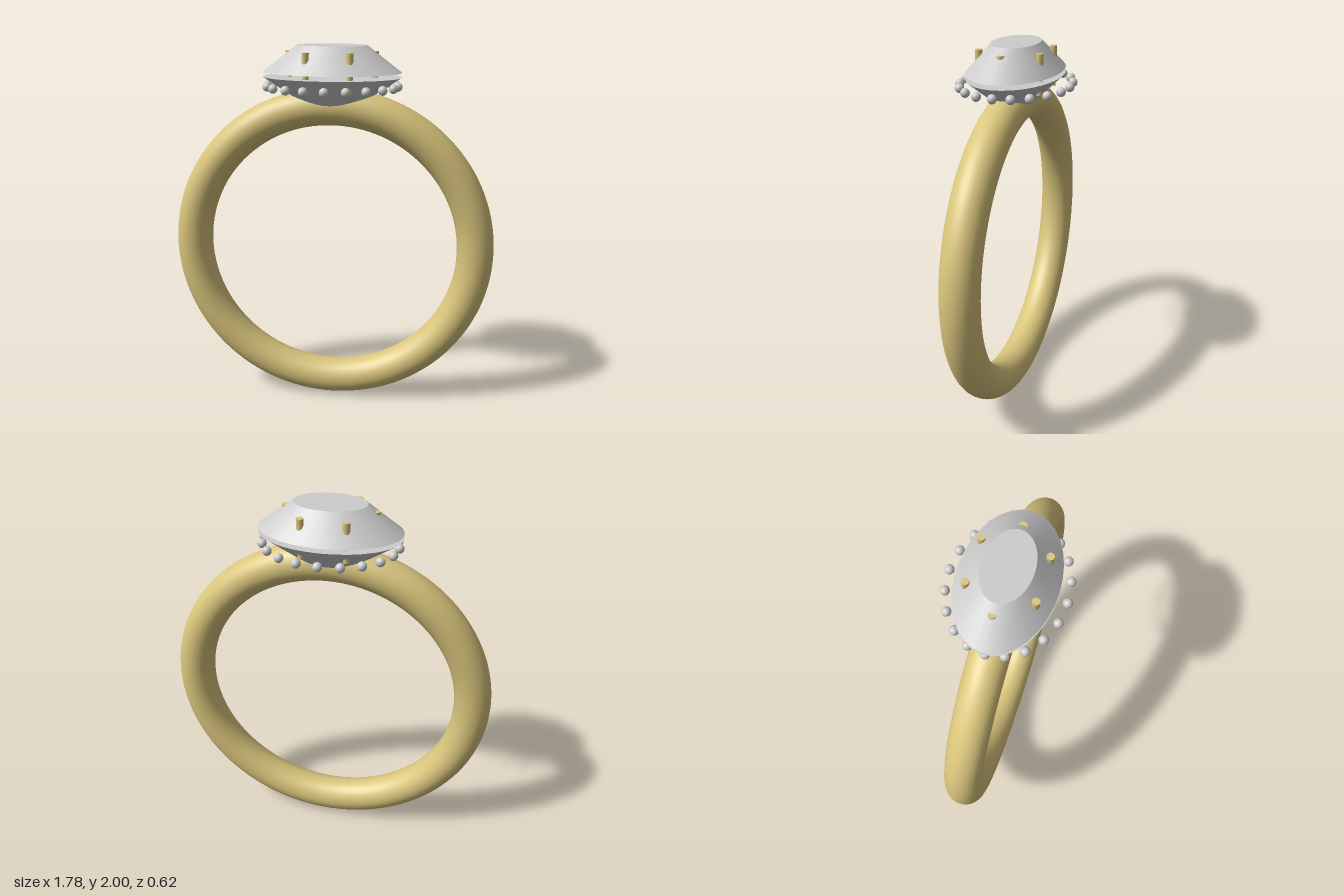
import * as THREE from 'three';

const gold = new THREE.MeshStandardMaterial({ color: 0xd9c57c });
const stone = new THREE.MeshStandardMaterial({ color: 0xcccccc });

export function createModel() {
  const ring = new THREE.Group();
  ring.name = 'ring';

  function add(name, geometry, material, x, y, z, parent = ring) {
    const mesh = new THREE.Mesh(geometry, material);
    mesh.name = name;
    mesh.position.set(x, y, z);
    parent.add(mesh);
    return mesh;
  }

  // Round band standing upright
  add('band', new THREE.TorusGeometry(0.791, 0.099, 32, 128), gold, 0, 0.892, 0);

  // Oval gem: truncated crown above a thin gap, pointed pavilion below
  const crown = add('gemCrown', new THREE.CylinderGeometry(0.185, 0.367, 0.138, 32), stone, 0, 1.931, 0);
  const pavilion = add('gemPavilion', new THREE.CylinderGeometry(0.367, 0, 0.238, 32), stone, 0, 1.719, 0);
  crown.scale.z = pavilion.scale.z = 0.65;

  // Six slightly flared prongs passing through the gem
  const prongs = new THREE.Group();
  prongs.name = 'prongs';
  ring.add(prongs);
  const prongGeometry = new THREE.CylinderGeometry(0.019, 0.015, 0.206, 12);
  for (let i = 0; i < 6; i++) {
    const a = (i * Math.PI) / 3;
    add('prong', prongGeometry, gold, 0.225 * Math.cos(a), 1.868, 0.185 * Math.sin(a), prongs);
  }

  // Oval halo of small round beads
  const halo = new THREE.Group();
  halo.name = 'halo';
  ring.add(halo);
  const beadGeometry = new THREE.SphereGeometry(0.024, 16, 12);
  for (let i = 0; i < 20; i++) {
    const a = (i * Math.PI) / 10;
    add('bead', beadGeometry, stone, 0.346 * Math.cos(a), 1.79, 0.284 * Math.sin(a), halo);
  }

  return ring;
}
